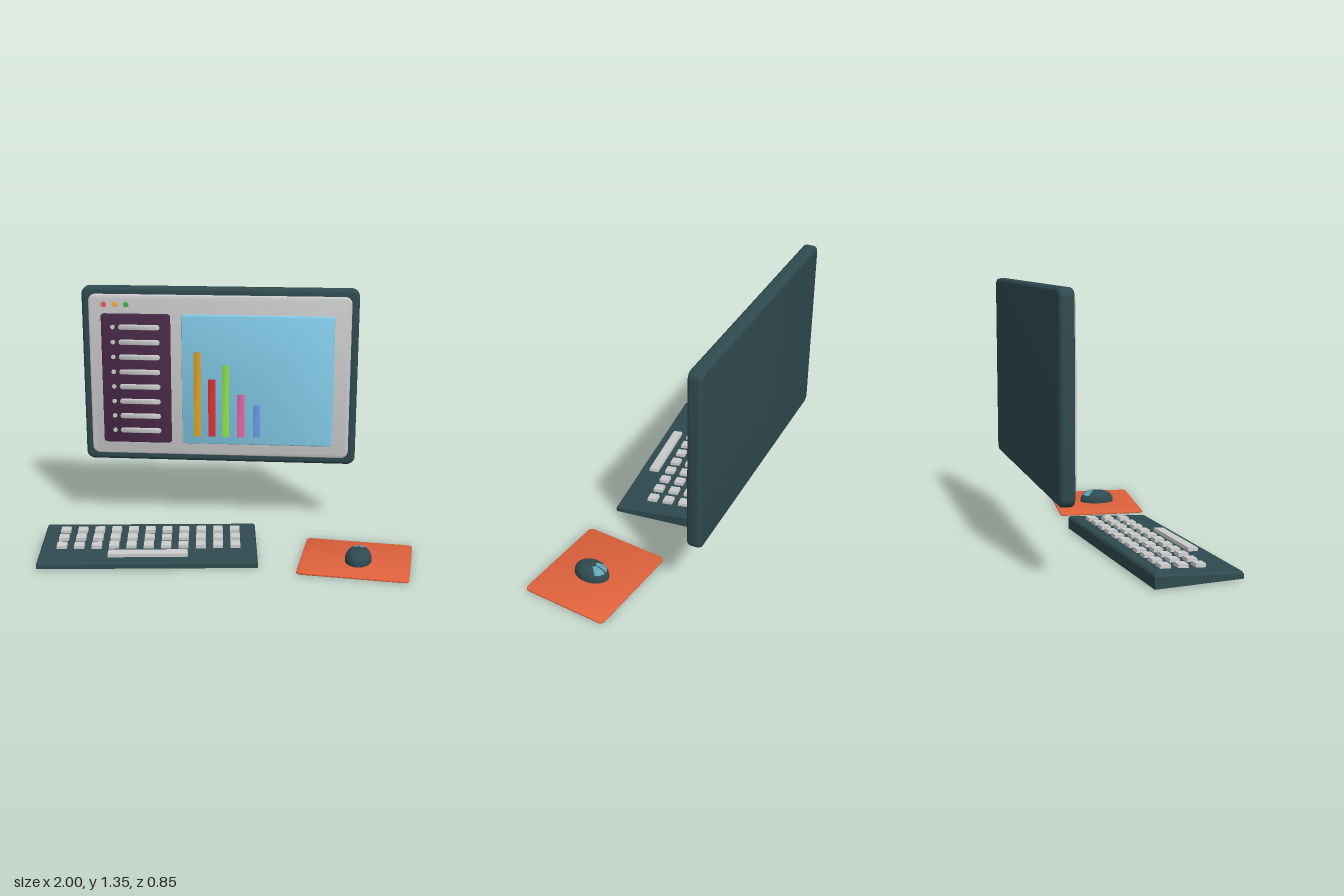
import * as THREE from 'three';
import { mergeVertices, toCreasedNormals } from 'three/addons/utils/BufferGeometryUtils.js';

const DARK = 0x2f4a50, GREY = 0xcccccc;

function add(parent, name, geometry, color, x = 0, y = 0, z = 0, side = THREE.FrontSide) {
  const mesh = new THREE.Mesh(geometry, new THREE.MeshStandardMaterial({ color, side }));
  mesh.name = name;
  mesh.position.set(x, y, z);
  parent.add(mesh);
  return mesh;
}

// Rounded rectangle w x h, thickness d centred on z, with rounded rims
function slab(w, h, d, r, bevel) {
  const a = w / 2 - bevel, b = h / 2 - bevel, c = Math.max(r - bevel, 0.001);
  const s = new THREE.Shape();
  s.absarc(a - c, b - c, c, 0, Math.PI / 2);
  s.absarc(-a + c, b - c, c, Math.PI / 2, Math.PI);
  s.absarc(-a + c, -b + c, c, Math.PI, Math.PI * 1.5);
  s.absarc(a - c, -b + c, c, Math.PI * 1.5, Math.PI * 2);
  s.closePath();
  const g = new THREE.ExtrudeGeometry(s, {
    depth: d - 2 * bevel, bevelThickness: bevel, bevelSize: bevel, bevelSegments: 4, curveSegments: 6,
  });
  g.translate(0, 0, -d / 2 + bevel);
  return toCreasedNormals(g, 0.7);
}

// Box with normals blended over its corners
function softBox(w, h, d) {
  const g = new THREE.BoxGeometry(w, h, d);
  g.deleteAttribute('normal');
  g.deleteAttribute('uv');
  const m = mergeVertices(g);
  m.computeVertexNormals();
  return m;
}

// Slab given by its left, right, bottom, top, back and front
function panel(parent, name, color, [x0, x1, y0, y1, z0, z1], r, bevel) {
  return add(parent, name, slab(x1 - x0, y1 - y0, z1 - z0, r, bevel), color,
    (x0 + x1) / 2, (y0 + y1) / 2, (z0 + z1) / 2);
}

function disc(parent, name, color, x, y, z, r) {
  const g = new THREE.CylinderGeometry(r * 0.85, r, 0.012, 20);
  add(parent, name, g.rotateX(Math.PI / 2), color, x, y, z);
}

function buildMonitor() {
  const g = new THREE.Group();
  g.name = 'monitor';
  panel(g, 'monitorCase', DARK, [-0.84, 0.685, 0.36, 1.35, -0.43, -0.355], 0.045, 0.02);
  panel(g, 'window', GREY, [-0.8, 0.645, 0.4, 1.31, -0.37, -0.34], 0.04, 0.012);
  panel(g, 'sidebar', 0x4a2a49, [-0.73, -0.345, 0.47, 1.205, -0.35, -0.333], 0.018, 0.005);
  panel(g, 'chartPanel', 0x86d0ee, [-0.285, 0.555, 0.47, 1.205, -0.35, -0.332], 0.018, 0.005);

  // Window buttons
  [[-0.713, 0xf05656], [-0.651, 0xf0b030], [-0.589, 0x30c040]].forEach(([x, color]) =>
    disc(g, 'windowButton', color, x, 1.255, -0.337, 0.016));

  // Sidebar list
  for (let i = 0; i < 8; i++) {
    const y = 1.13 - i * 0.0842;
    disc(g, 'listBullet', GREY, -0.665, y, -0.333, 0.014);
    panel(g, 'listLine', GREY, [-0.634, -0.404, y - 0.015, y + 0.015, -0.341, -0.327], 0.015, 0.004);
  }

  // Bar chart
  [[-0.198, 0.995, 0xe0a626], [-0.117, 0.845, 0xe03434], [-0.04, 0.925, 0x92e84c],
    [0.045, 0.76, 0xe868b0], [0.133, 0.7, 0x6c9ee8]].forEach(([x, top, color]) =>
    add(g, 'chartBar', softBox(0.04, top - 0.515, 0.014), color, x, (top + 0.515) / 2, -0.334));
  return g;
}

// Wedge shell, open underneath, made of rectangular rings
function wedgeShell() {
  const deck = (z) => 0.058 - z * 0.078;
  const rings = [[0, () => 0.005], [0, (z) => deck(z) - 0.012], [0.008, deck]];
  const pos = [], idx = [];
  for (const [inset, height] of rings) {
    const x = 0.572 - inset, z = 0.226 - inset;
    for (const [sx, sz] of [[-1, 1], [1, 1], [1, -1], [-1, -1]]) pos.push(sx * x, height(sz * z), sz * z);
  }
  for (let r = 0; r < rings.length - 1; r++) {
    for (let i = 0; i < 4; i++) {
      const a = r * 4 + i, b = r * 4 + (i + 1) % 4;
      idx.push(a, b, b + 4, a, b + 4, a + 4);
    }
  }
  idx.push(8, 9, 10, 8, 10, 11);
  const g = new THREE.BufferGeometry();
  g.setAttribute('position', new THREE.Float32BufferAttribute(pos, 3));
  g.setIndex(idx);
  return toCreasedNormals(g, 0.3);
}

// Key cap with a narrower top
function keyCap(w) {
  const g = new THREE.BoxGeometry(w, 0.04, 0.057);
  const p = g.attributes.position;
  for (let i = 0; i < p.count; i++) {
    if (p.getY(i) > 0) p.setXYZ(i, p.getX(i) - Math.sign(p.getX(i)) * 0.003, p.getY(i), p.getZ(i) * 0.9);
  }
  g.computeVertexNormals();
  return g;
}

function buildKeyboard() {
  const g = new THREE.Group();
  g.name = 'keyboard';
  add(g, 'keyboardCase', wedgeShell(), DARK, 0, 0, 0, THREE.DoubleSide);
  const key = (name, w, x, z) => {
    add(g, name, keyCap(w), GREY, x, 0.056 - z * 0.078, z).rotation.x = 0.078;
  };
  for (let row = 0; row < 3; row++) {
    for (let i = 0; i < 11; i++) key('key', 0.057, (i - 5) * 0.0918, -0.133 + row * 0.09);
  }
  key('spaceBar', 0.42, 0, 0.143);
  g.position.set(-0.41, 0, 0.135);
  g.rotation.y = 0.096;
  return g;
}

function buildMouse() {
  const g = new THREE.Group();
  g.name = 'mouse';
  // Domed half profile, from the rim up to the crown
  const profile = (from, to, n) => Array.from({ length: n + 1 }, (_, i) => {
    const t = (from + (to - from) * i / n) * Math.PI / 2;
    return new THREE.Vector2(Math.max(Math.cos(t), 0) ** 0.7, Math.max(Math.sin(t), 0) ** 0.85);
  });
  const body = add(g, 'mouseBody', new THREE.LatheGeometry(profile(0, 1, 14), 36), DARK);
  body.scale.set(0.07, 0.066, 0.098);
  // Two buttons split by a gap along the middle
  for (const s of [-1, 1]) {
    const start = s > 0 ? Math.PI - 0.9 : Math.PI + 0.08;
    const button = add(g, 'mouseButton', new THREE.LatheGeometry(profile(0.4, 0.9, 8), 8, start, 0.82),
      0x5fa3b3, 0, 0, 0, THREE.DoubleSide);
    button.scale.set(0.0715, 0.0675, 0.1);
  }
  g.position.set(0.7, 0.009, 0.172);
  g.rotation.y = -0.114;
  return g;
}

export function createModel() {
  const model = new THREE.Group();
  model.name = 'desktopComputer';
  model.add(buildMonitor(), buildKeyboard(), buildMouse());
  const pad = add(model, 'mousePad', slab(0.573, 0.48, 0.01, 0.025, 0.003), 0xe0623c, 0.6875, 0.005, 0.155);
  pad.rotation.set(-Math.PI / 2, 0, -0.114);
  return model;
}
